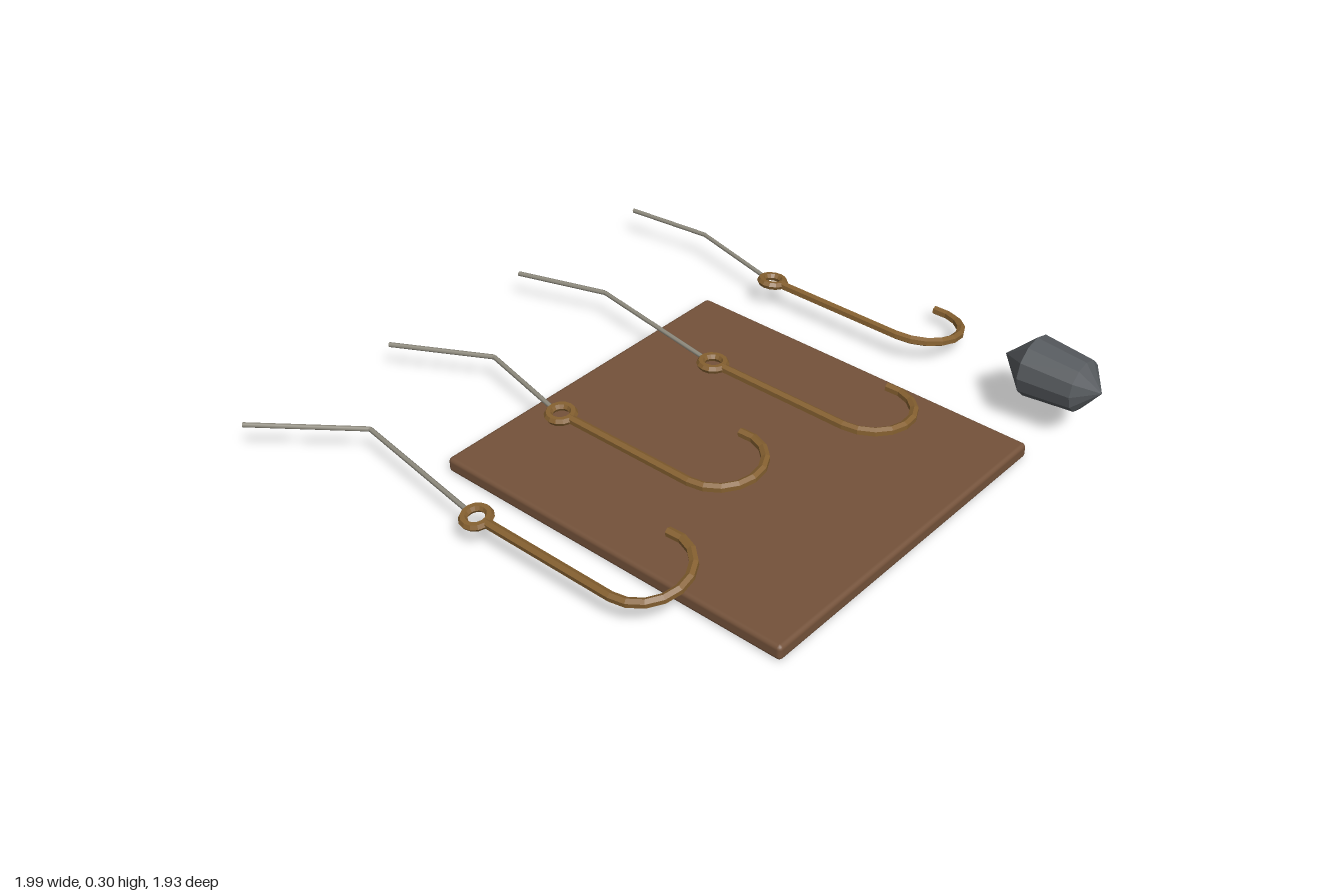
import * as THREE from 'three';
import { RoundedBoxGeometry } from 'three/addons/geometries/RoundedBoxGeometry.js';

// A path that bends only at its given points
class PointPath extends THREE.Curve {
  constructor(points) { super(); this.points = points; }
  getPointAt(u, target = new THREE.Vector3()) {
    return target.copy(this.points[Math.round(u * (this.points.length - 1))]);
  }
  getTangentAt(u, target = new THREE.Vector3()) {
    const p = this.points, i = Math.round(u * (p.length - 1)), t = new THREE.Vector3();
    if (i > 0) t.add(p[i].clone().sub(p[i - 1]).normalize());
    if (i < p.length - 1) t.add(p[i + 1].clone().sub(p[i]).normalize());
    return target.copy(t.normalize());
  }
}

export function createModel() {
  const model = new THREE.Group();
  model.name = 'fishingTackle';
  const material = (name, color, flatShading = false) => {
    const m = new THREE.MeshStandardMaterial({ color, flatShading });
    m.name = name;
    return m;
  };
  const wood = material('brownWood', 0x74523a);
  const bronze = material('bronze', 0x856030, true);
  const lead = material('leadGrey', 0x565a5e, true);
  const cord = material('paleCord', 0x918d80);

  const add = (parent, name, geometry, mat) => {
    const mesh = new THREE.Mesh(geometry, mat);
    mesh.name = name;
    parent.add(mesh);
    return mesh;
  };

  // Board
  add(model, 'board', new RoundedBoxGeometry(1.19, 0.05, 1.27, 2, 0.014), wood)
    .position.set(-0.055, 0.025, 0.195);

  // Hook wire: straight shank, then a bend just past a half circle
  const R = 0.136, steps = 9, sweep = Math.PI * 1.07, wire = 0.015;
  const points = [new THREE.Vector3(0, 0, 0.038)];
  for (let i = 0; i <= steps; i++) {
    const a = sweep * i / steps;
    points.push(new THREE.Vector3(R - R * Math.cos(a), 0, 0.515 + R * Math.sin(a)));
  }
  const hookGeometry = new THREE.TubeGeometry(new PointPath(points), points.length - 1, wire, 6);
  const tipGeometry = new THREE.CircleGeometry(wire, 6);
  const eyeGeometry = new THREE.TorusGeometry(0.039, 0.014, 6, 14).rotateX(Math.PI / 2);

  // Cord segment between two points
  const addCord = (parent, name, a, b) => {
    const d = b.clone().sub(a);
    const mesh = add(parent, name, new THREE.CylinderGeometry(0.008, 0.008, d.length(), 6), cord);
    mesh.position.copy(a).addScaledVector(d, 0.5);
    mesh.quaternion.setFromUnitVectors(new THREE.Vector3(0, 1, 0), d.normalize());
  };

  // Four hooks, each rolled about its shank, with a kinked leader
  const hooks = [
    { x: -0.825, z: -0.125, roll: 0.16, kink: -0.755, end: -0.99 },
    { x: -0.312, z: -0.295, roll: 0.05, kink: -0.243, end: -0.412 },
    { x: 0.2, z: -0.125, roll: -0.05, kink: 0.268, end: 0.168 },
    { x: 0.712, z: -0.295, roll: -0.16, kink: 0.78, end: 0.746 },
  ];
  hooks.forEach(({ x, z, roll, kink, end }, i) => {
    const hook = new THREE.Group();
    hook.name = `hook${i + 1}`;
    hook.position.set(x, 0.095, z);
    hook.rotation.z = roll;
    add(hook, 'hookWire', hookGeometry, bronze);
    add(hook, 'hookEye', eyeGeometry, bronze);
    const tip = add(hook, 'hookTip', tipGeometry, bronze);
    const last = points[points.length - 1];
    tip.position.copy(last);
    tip.quaternion.setFromUnitVectors(new THREE.Vector3(0, 0, 1),
      last.clone().sub(points[points.length - 2]).normalize());
    model.add(hook);

    const leader = new THREE.Group();
    leader.name = `leader${i + 1}`;
    const bend = new THREE.Vector3(kink, 0.11, -0.657);
    addCord(leader, 'nearCord', new THREE.Vector3(x + 0.003, 0.094, z - 0.03), bend);
    addCord(leader, 'farCord', bend, new THREE.Vector3(end, 0.11, -0.963));
    model.add(leader);
  });

  // Sinker: tapered barrel with a cone at each end, lying along z
  const profile = [[0, -0.169], [0.1, -0.068], [0.084, 0.105], [0, 0.169]]
    .map(([r, h]) => new THREE.Vector2(r, h));
  add(model, 'sinker', new THREE.LatheGeometry(profile, 12).rotateX(Math.PI / 2), lead)
    .position.set(0.712, 0.2, 0.795);

  return model;
}
